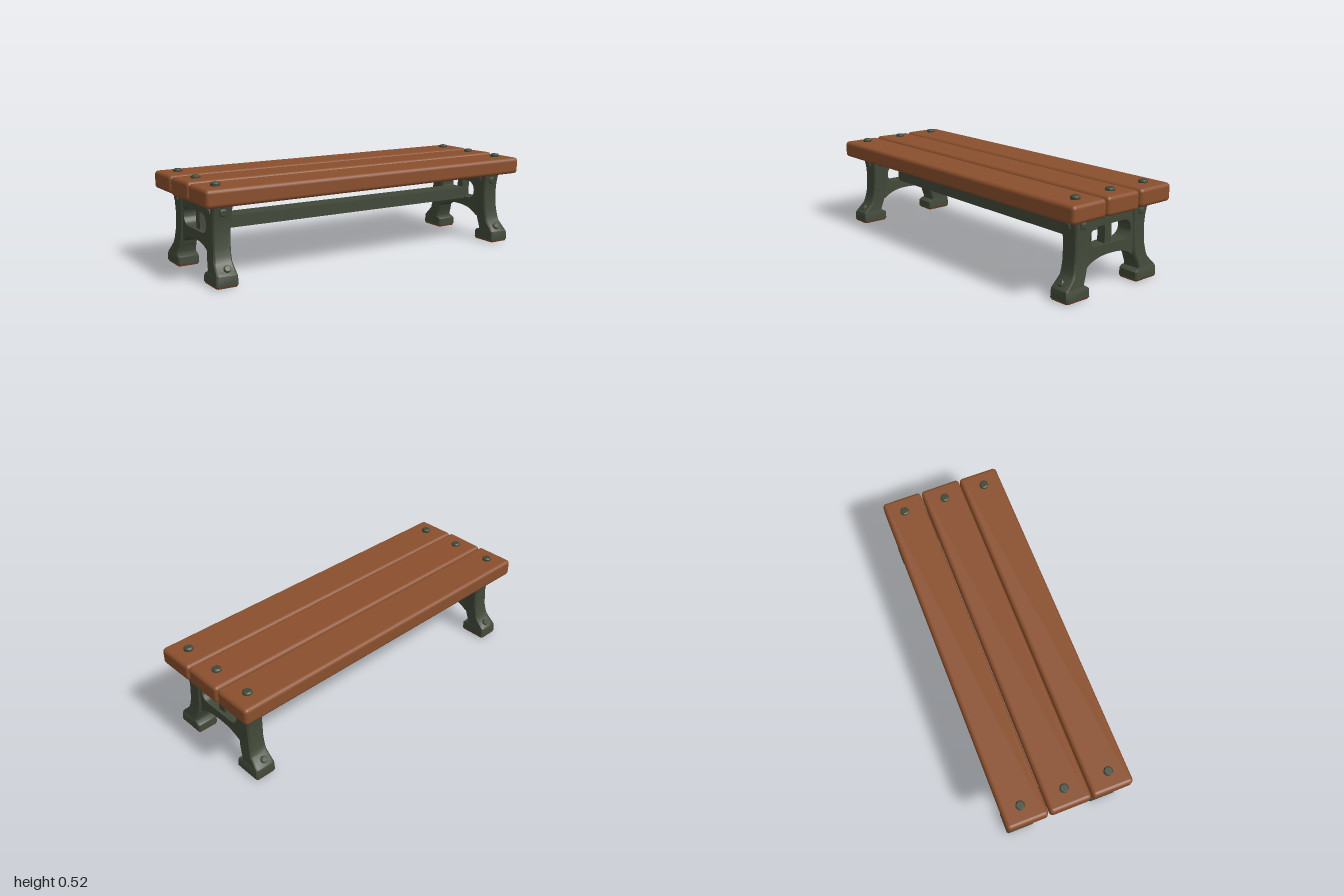
import * as THREE from 'three';
import { toCreasedNormals } from 'three/addons/utils/BufferGeometryUtils.js';
import { RoundedBoxGeometry } from 'three/addons/geometries/RoundedBoxGeometry.js';

const mat = (name, color) => new THREE.MeshStandardMaterial({ name, color });

// Loft of chamfered rectangles; each row is [y, zMin, zMax, xMin, xMax]
function loft(rows, c, capBottom, capTop) {
  const pos = [], idx = [], n = 8;
  for (const [y, z0, z1, x0, x1] of rows) {
    const ring = [[x0 + c, z0], [x1 - c, z0], [x1, z0 + c], [x1, z1 - c],
      [x1 - c, z1], [x0 + c, z1], [x0, z1 - c], [x0, z0 + c]];
    for (const [x, z] of ring) pos.push(x, y, z);
  }
  for (let r = 0; r < rows.length - 1; r++) {
    for (let i = 0; i < n; i++) {
      const a = r * n + i, b = r * n + (i + 1) % n;
      idx.push(a, a + n, b, b, a + n, b + n);
    }
  }
  const t = (rows.length - 1) * n;
  for (let i = 1; i < n - 1; i++) {
    if (capBottom) idx.push(0, i, i + 1);
    if (capTop) idx.push(t, t + i + 1, t + i);
  }
  const g = new THREE.BufferGeometry();
  g.setAttribute('position', new THREE.Float32BufferAttribute(pos, 3));
  g.setIndex(idx);
  return toCreasedNormals(g, 0.6);
}

export function createModel() {
  const model = new THREE.Group();
  model.name = 'bench';
  const wood = mat('brown wood', 0x8a4f2d);
  const iron = mat('dark green iron', 0x414939);
  const rust = mat('worn rust edge', 0x7a4a30);

  const add = (parent, name, geo, material, x = 0, y = 0, z = 0) => {
    const m = new THREE.Mesh(geo, material);
    m.name = name;
    m.position.set(x, y, z);
    parent.add(m);
    return m;
  };

  // Bolt head: short faceted stud pointing along dir
  const up = new THREE.Vector3(0, 1, 0);
  const bolt = (parent, name, p, dir, r, h) => {
    const pts = [[0, -h], [r, -h], [r, h * 0.55], [r * 0.75, h], [0, h]];
    const g = new THREE.LatheGeometry(pts.map(q => new THREE.Vector2(...q)), 12);
    const m = add(parent, name, toCreasedNormals(g, 0.7), iron, ...p);
    m.quaternion.setFromUnitVectors(up, new THREE.Vector3(...dir).normalize());
  };

  // Seat planks, slightly uneven: [z, y, height, depth, tilt]
  for (const [z, y, h, d, tilt] of [
    [0.235, 0.455, 0.094, 0.227, 0],
    [0.002, 0.455, 0.1, 0.229, -0.022],
    [-0.234, 0.457, 0.096, 0.228, -0.004],
  ]) {
    const p = add(model, 'seatPlank', new RoundedBoxGeometry(1.995, h, d, 3, 0.021), wood, 0, y, z);
    p.rotation.x = tilt;
  }

  // Long stretcher, a box sleeve without end faces
  const sleeve = new THREE.BoxGeometry(1.68, 0.065, 0.114);
  sleeve.setIndex(Array.from(sleeve.index.array).slice(12));
  sleeve.clearGroups();
  add(model, 'stretcher', sleeve, iron, 0, 0.264, 0).rotation.z = -0.004;

  // Leg profile: y, inner z, outer z, inner x, outer x
  const legRows = [
    [0, 0.174, 0.322, 0.832, 0.943],
    [0.012, 0.168, 0.327, 0.826, 0.949],
    [0.05, 0.169, 0.326, 0.828, 0.947],
    [0.059, 0.18, 0.325, 0.829, 0.944],
    [0.064, 0.198, 0.322, 0.83, 0.942],
    [0.075, 0.199, 0.311, 0.831, 0.94],
    [0.114, 0.183, 0.272, 0.832, 0.935],
    [0.145, 0.171, 0.262, 0.832, 0.93],
    [0.19, 0.166, 0.253, 0.83, 0.926],
    [0.285, 0.16, 0.248, 0.826, 0.923],
    [0.345, 0.156, 0.252, 0.821, 0.925],
    [0.415, 0.15, 0.267, 0.816, 0.928],
  ];

  // Web between the legs: arched lower edge and a rounded slot
  const web = new THREE.Shape();
  web.moveTo(-0.2, 0.412);
  web.lineTo(-0.2, 0.14);
  web.lineTo(-0.172, 0.14);
  web.bezierCurveTo(-0.12, 0.178, -0.07, 0.187, 0, 0.187);
  web.bezierCurveTo(0.07, 0.187, 0.12, 0.178, 0.172, 0.14);
  web.lineTo(0.2, 0.14);
  web.lineTo(0.2, 0.412);
  const slot = new THREE.Path();
  slot.absarc(0.096, 0.2885, 0.0515, -Math.PI / 2, Math.PI / 2, false);
  slot.absarc(-0.096, 0.2885, 0.0515, Math.PI / 2, Math.PI * 1.5, false);
  web.holes.push(slot);
  const webGeo = toCreasedNormals(
    new THREE.ExtrudeGeometry(web, { depth: 0.084, bevelEnabled: false, curveSegments: 10 })
      .rotateY(-Math.PI / 2).translate(0.916, 0, 0), 0.6);

  // Two cast end frames, the second turned half round
  for (const turn of [0, Math.PI]) {
    const end = new THREE.Group();
    end.name = 'endFrame';
    end.rotation.y = turn;
    model.add(end);
    add(end, 'frameWeb', webGeo, iron);
    add(end, 'slotBar', new THREE.BoxGeometry(0.05, 0.12, 0.047), iron, 0.873, 0.2885, 0);

    for (const s of [1, -1]) {
      const rows = legRows.map(([y, a, b, x0, x1]) =>
        [y, Math.min(s * a, s * b), Math.max(s * a, s * b), x0, x1]);
      add(end, 'leg', loft(rows.slice(1), 0.008, false, true), iron);
      add(end, 'footWornEdge', loft(rows.slice(0, 2), 0.008, false, false), rust);
      add(end, 'footSole', loft([rows[0], rows[0].map((v, i) => i ? v : 0.001)], 0.008, true, false), iron);
      // Bolts on the leg faces and on the foot slope
      bolt(end, 'legSideBolt', [0.928, 0.369, s * 0.209], [1, 0, 0], 0.02, 0.008);
      bolt(end, 'legInnerBolt', [0.818, 0.369, s * 0.209], [-1, 0, 0], 0.02, 0.007);
      bolt(end, 'legFaceBolt', [0.872, 0.364, s * 0.256], [0, -0.05, s], 0.02, 0.01);
      bolt(end, 'footBolt', [0.878, 0.089, s * 0.3], [0, 0.75, s], 0.019, 0.011);
    }
    // Bolts through the planks
    for (const z of [-0.243, 0.002, 0.243]) {
      bolt(end, 'seatBolt', [0.902, 0.507, z], [0, 1, 0], 0.025, 0.013);
    }
  }
  return model;
}
